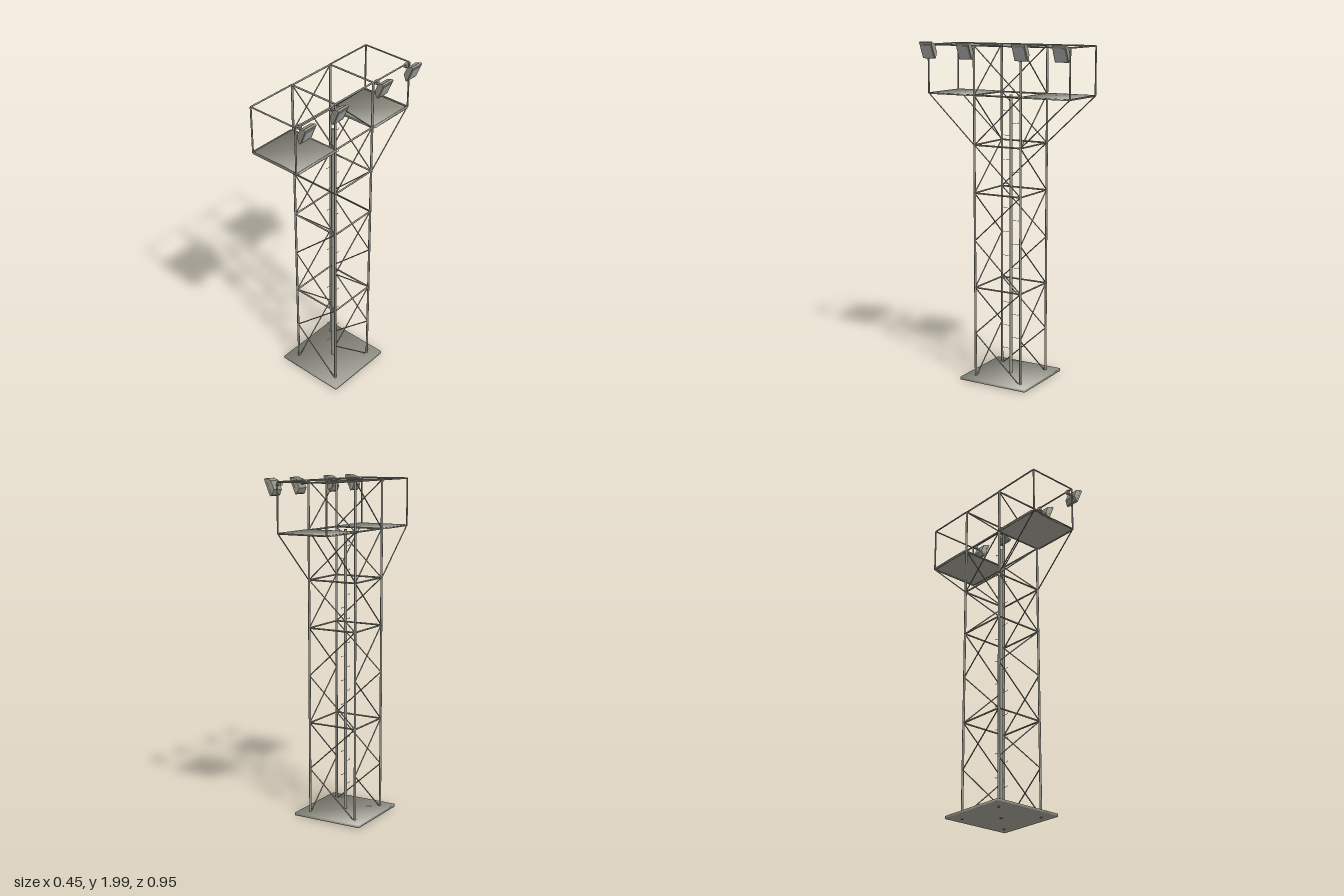
import * as THREE from 'three';

const CX = -0.01;   // tower axis in x
const R = 0.153;    // half spacing of the legs
const OUT = 0.462;  // outer edge of the platforms in z
const DECK = 1.695, TOP = 1.975;

export function createModel() {
  const model = new THREE.Group();
  model.name = 'floodlightTower';

  const steel = new THREE.MeshStandardMaterial({ color: 0x98978b });
  steel.name = 'steel';
  const glass = new THREE.MeshStandardMaterial({ color: 0xb0b0b0 });
  glass.name = 'lampGlass';

  const group = (name, parent = model) => {
    const g = new THREE.Group();
    g.name = name;
    parent.add(g);
    return g;
  };
  const box = (parent, name, w, h, d, x, y, z, mat = steel) => {
    const m = new THREE.Mesh(new THREE.BoxGeometry(w, h, d), mat);
    m.name = name;
    m.position.set(x, y, z);
    parent.add(m);
    return m;
  };
  // plate shaded smoothly around its corners
  const plate = (...args) => {
    const { position, normal } = box(...args).geometry.attributes;
    const n = new THREE.Vector3();
    for (let i = 0; i < position.count; i++) {
      n.fromBufferAttribute(position, i);
      n.set(Math.sign(n.x), Math.sign(n.y), Math.sign(n.z)).normalize();
      normal.setXYZ(i, n.x, n.y, n.z);
    }
  };
  // round bar between two points, given relative to the tower axis
  const bar = (parent, name, a, b, radius) => {
    const p = new THREE.Vector3(...a), q = new THREE.Vector3(...b);
    const dir = q.clone().sub(p);
    const m = new THREE.Mesh(new THREE.CylinderGeometry(radius, radius, dir.length(), 8), steel);
    m.name = name;
    m.position.copy(p).add(q).multiplyScalar(0.5);
    m.position.x += CX;
    m.quaternion.setFromUnitVectors(new THREE.Vector3(0, 1, 0), dir.normalize());
    parent.add(m);
  };

  // base plate, with the leg ends showing below it
  plate(model, 'basePlate', 0.436, 0.017, 0.44, CX, 0.0125, 0);

  // four legs, in order around the tower
  const corners = [[R, R], [-R, R], [-R, -R], [R, -R]];
  const frame = group('latticeFrame');
  for (const [x, z] of corners) bar(frame, 'leg', [x, 0, z], [x, TOP, z], 0.0068);

  // each face: horizontal rails and one zigzag of bracing
  const bays = [0.01, 0.285, 0.565, 0.848, 1.13, 1.41, DECK, TOP];
  corners.forEach((a, i) => {
    const b = corners[(i + 1) % 4];
    for (const y of [0.565, 1.13, 1.41, DECK, TOP]) {
      bar(frame, 'rail', [a[0], y, a[1]], [b[0], y, b[1]], 0.005);
    }
    for (let k = 0; k < bays.length - 1; k++) {
      const [s, e] = k % 2 ? [b, a] : [a, b];
      bar(frame, 'brace', [s[0], bays[k], s[1]], [e[0], bays[k + 1], e[1]], 0.0035);
    }
  });

  // central climbing pole with alternating hooked steps
  const ladder = group('climbingPole');
  bar(ladder, 'pole', [0, 0, 0], [0, DECK, 0], 0.0095);
  for (let i = 0; i < 23; i++) {
    const y = 0.1 + i * 0.0715, s = i % 2 ? 1 : -1;
    bar(ladder, 'step', [0, y, 0], [0, y, s * 0.05], 0.0013);
    bar(ladder, 'stepTip', [0, y, s * 0.05], [0, y + 0.006, s * 0.05], 0.0013);
  }

  // two platforms with guard rails and struts
  for (const s of [1, -1]) {
    const p = group(s > 0 ? 'frontPlatform' : 'backPlatform');
    plate(p, 'deck', 0.332, 0.008, 0.289, CX, DECK, s * 0.305);
    for (const x of [R + 0.003, -R - 0.003]) {
      bar(p, 'post', [x, DECK, s * OUT], [x, TOP, s * OUT], 0.005);
      bar(p, 'strut', [x, 1.41, s * R], [x, DECK, s * OUT], 0.0035);
      for (const y of [DECK, TOP]) bar(p, 'sideRail', [x, y, s * R], [x, y, s * OUT], 0.0045);
    }
    for (const y of [DECK, TOP]) bar(p, 'endRail', [-R, y, s * OUT], [R, y, s * OUT], 0.0045);
  }

  // floodlights along the +x top rail, tilted outward and down
  for (const z of [0.43, 0.181, -0.181, -0.432]) {
    const lamp = group('floodlight');
    lamp.position.set(0.2, 1.946, z);
    lamp.rotation.z = -0.4;
    box(lamp, 'lampRim', 0.012, 0.1, 0.084, 0, 0, 0);
    box(lamp, 'lampGlass', 0.003, 0.076, 0.07, 0.007, -0.005, 0, glass);
    // housing tapers toward the back
    const housing = box(lamp, 'lampHousing', 0.024, 0.096, 0.082, -0.018, 0, 0);
    const pos = housing.geometry.attributes.position;
    for (let i = 0; i < pos.count; i++) {
      if (pos.getX(i) < 0) pos.setXYZ(i, pos.getX(i), pos.getY(i) * 0.55, pos.getZ(i) * 0.92);
    }
    housing.geometry.computeVertexNormals();
    bar(model, 'lampBracket', [R, TOP - 0.012, z], [R + 0.04, 1.953, z], 0.006);
    box(model, 'lampClamp', 0.016, 0.024, 0.02, 0.146, TOP - 0.008, z);
  }

  return model;
}
